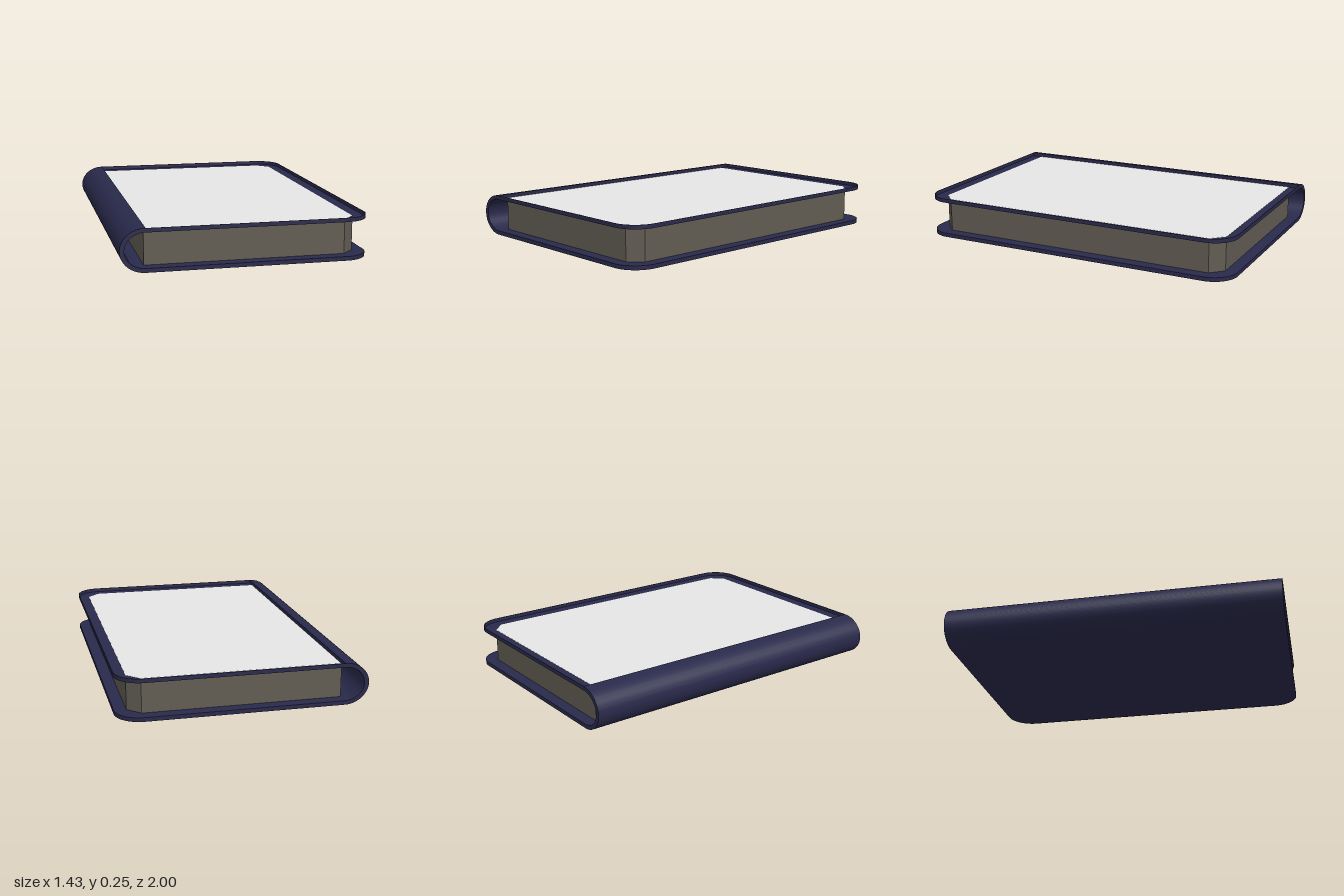
import * as THREE from 'three';
import { toCreasedNormals } from 'three/addons/utils/BufferGeometryUtils.js';

const HEIGHT = 0.245, THICK = 0.024;
const SPINE_X = -0.573, EDGE_X = 0.713;

// Outline seen from above, straight on the spine side, with rounded or cut corners at the free edge
function outline(x0, x1, halfZ, corner, rounded) {
  const s = new THREE.Shape();
  s.moveTo(x0, -halfZ);
  s.lineTo(x1 - corner, -halfZ);
  if (rounded) s.absarc(x1 - corner, -halfZ + corner, corner, -Math.PI / 2, 0, false);
  else s.lineTo(x1, -halfZ + corner);
  s.lineTo(x1, halfZ - corner);
  if (rounded) s.absarc(x1 - corner, halfZ - corner, corner, 0, Math.PI / 2, false);
  else s.lineTo(x1 - corner, halfZ);
  s.lineTo(x0, halfZ);
  s.closePath();
  return s;
}

// Lay an outline flat as a slab from y to y + height
function slab(shape, y, height) {
  const g = new THREE.ExtrudeGeometry(shape, { depth: height, bevelEnabled: false, curveSegments: 12 });
  g.rotateX(-Math.PI / 2);
  g.translate(0, y, 0);
  return toCreasedNormals(g, 0.6);
}

export function createModel() {
  const group = new THREE.Group();
  const material = (name, color) => {
    const m = new THREE.MeshStandardMaterial({ color });
    m.name = name;
    return m;
  };
  const navy = material('navy cover', 0x29294b);
  const paper = material('page edges', 0x615c53);
  const grey = material('light grey panel', 0xe6e6e6);

  const add = (name, geometry, mat) => {
    const mesh = new THREE.Mesh(geometry, mat);
    mesh.name = name;
    group.add(mesh);
  };

  // Solid bottom board
  const board = outline(SPINE_X, EDGE_X, 1, 0.15, true);
  add('bottomCover', slab(board, 0, THICK), navy);

  // Top board: a sunken floor inside a thin raised rim
  const floorY = HEIGHT - THICK;
  add('topCoverFloor', slab(board, floorY, 0.001), navy);
  const lip = 0.003;
  const rim = outline(SPINE_X, EDGE_X, 1, 0.15, true);
  rim.holes.push(outline(SPINE_X + lip, EDGE_X - lip, 1 - lip, 0.15 - lip, true));
  add('topCoverRim', slab(rim, floorY, THICK), navy);

  // Hollow rounded spine joining the boards
  const cy = HEIGHT / 2, rx = EDGE_X + SPINE_X;
  const arch = new THREE.Shape();
  arch.moveTo(SPINE_X, HEIGHT);
  arch.absellipse(SPINE_X, cy, rx, cy, Math.PI / 2, Math.PI * 1.5, false, 0);
  arch.lineTo(SPINE_X, THICK);
  arch.absellipse(SPINE_X, cy, rx - 0.026, cy - THICK, Math.PI * 1.5, Math.PI / 2, true, 0);
  arch.closePath();
  const spine = new THREE.ExtrudeGeometry(arch, { depth: 2, bevelEnabled: false, curveSegments: 24 });
  spine.translate(0, 0, -1);
  add('spine', toCreasedNormals(spine, 0.6), navy);

  // Page block with cut corners
  const page = outline(SPINE_X, 0.643, 0.93, 0.073, false);
  add('pages', slab(page, THICK, floorY - THICK), paper);

  // Thin panel lying on the sunken floor
  add('topPanel', slab(page, floorY + 0.001, 0.001), grey);

  return group;
}
